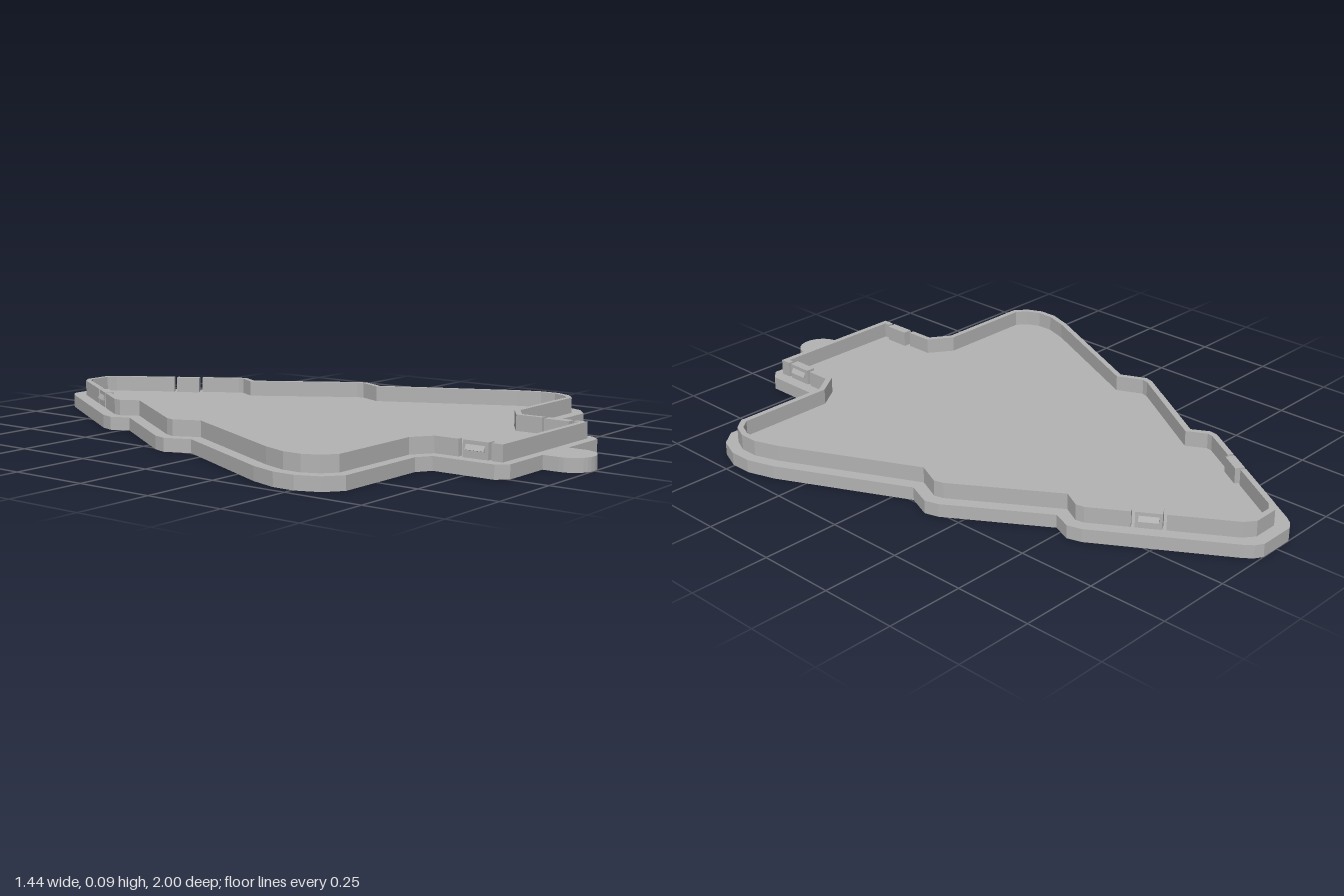
import * as THREE from 'three';

const BASE_H = 0.042, TOP = 0.092, WALL = 0.018;

// Completes a right-hand half outline (x, z) with its mirror image
const mirrored = (half) => [...half, ...half.slice().reverse().filter(([x]) => x > 0).map(([x, z]) => [-x, z])];

// Moves a closed outline inwards by a distance, with mitred corners
function inset(pts, dist) {
  const n = pts.length;
  const normal = (a, b) => {
    const dx = b[0] - a[0], dz = b[1] - a[1], l = Math.hypot(dx, dz);
    return [-dz / l, dx / l];
  };
  return pts.map((p, i) => {
    const m = normal(pts[(i + n - 1) % n], p), k = normal(p, pts[(i + 1) % n]);
    const s = dist / (1 + m[0] * k[0] + m[1] * k[1]);
    return [p[0] + (m[0] + k[0]) * s, p[1] + (m[1] + k[1]) * s];
  });
}

// Upright slab from a plan outline
function slab(pts, y0, y1, material, name) {
  const shape = new THREE.Shape(pts.map(([x, z]) => new THREE.Vector2(x, -z)));
  const geo = new THREE.ExtrudeGeometry(shape, { depth: y1 - y0, bevelEnabled: false });
  geo.rotateX(-Math.PI / 2).translate(0, y0, 0);
  const mesh = new THREE.Mesh(geo, material);
  mesh.name = name;
  return mesh;
}

// Snap clip: tongue, inner rib and outward wedge; local +x faces outwards
function makeClip(material, name, length) {
  const clip = new THREE.Group();
  clip.name = name;
  const h = TOP - BASE_H, mid = (TOP + BASE_H) / 2;
  const tongue = new THREE.Mesh(new THREE.BoxGeometry(WALL + 0.012, h, length), material);
  tongue.position.set(-(WALL + 0.012) / 2, mid, 0);
  tongue.name = 'clipTongue';
  const profile = new THREE.Shape([
    new THREE.Vector2(-0.002, 0.063), new THREE.Vector2(0.009, 0.066), new THREE.Vector2(-0.002, 0.084),
  ]);
  const wedgeGeo = new THREE.ExtrudeGeometry(profile, { depth: length * 0.75, bevelEnabled: false });
  wedgeGeo.translate(0, 0, -length * 0.375);
  const wedge = new THREE.Mesh(wedgeGeo, material);
  wedge.name = 'clipWedge';
  clip.add(tongue, wedge);
  return clip;
}

export function createModel() {
  const model = new THREE.Group();
  model.name = 'treeTray';
  const grey = new THREE.MeshStandardMaterial({ color: 0xb3b3b3 });
  grey.name = 'grey plastic';

  // Base plate with a rounded pull tab at the foot
  const baseHalf = [
    [0.06, -1], [0.085, -0.985], [0.105, -0.96],
    [0.342, -0.58], [0.355, -0.535], [0.33, -0.475],
    [0.515, -0.185], [0.528, -0.14], [0.495, -0.06],
    [0.69, 0.345], [0.718, 0.435], [0.718, 0.505], [0.69, 0.575], [0.637, 0.617],
    [0.32, 0.617], [0.275, 0.645], [0.275, 0.845], [0.245, 0.877], [0.072, 0.877],
  ];
  for (let i = 0; i <= 8; i++) {
    const a = (i / 8) * Math.PI / 2;
    baseHalf.push([i === 8 ? 0 : 0.072 * Math.cos(a), 0.928 + 0.072 * Math.sin(a)]);
  }
  model.add(slab(mirrored(baseHalf), 0, BASE_H, grey, 'basePlate'));

  // Raised rim outline; upper edge points are placed on a straight slope
  const a = [0.075, -0.935], b = [0.31, -0.56];
  const onSlope = (z) => [a[0] + (b[0] - a[0]) * (z - a[1]) / (b[1] - a[1]), z];
  const rimHalf = [
    [0.042, -0.96], a, onSlope(-0.757), onSlope(-0.672), b,
    [0.315, -0.532], [0.284, -0.475], [0.48, -0.17], [0.488, -0.14], [0.452, -0.06],
    [0.655, 0.36], [0.682, 0.44], [0.682, 0.5], [0.66, 0.55], [0.62, 0.582],
    [0.3, 0.582], [0.237, 0.625], [0.237, 0.705], [0.237, 0.812], [0.237, 0.848],
  ];
  const outer = mirrored(rimHalf), inner = inset(outer, WALL), n = outer.length;
  // Each strip runs between two clip openings
  const strip = (from, to, name) => {
    const ids = [];
    for (let i = from; i <= to; i++) ids.push(i % n);
    const pts = [...ids.map((i) => outer[i]), ...ids.reverse().map((i) => inner[i])];
    model.add(slab(pts, BASE_H, TOP, grey, name));
  };
  strip(3, 17, 'leftRim');
  strip(18, n - 19, 'trunkRim');
  strip(n - 18, n - 4, 'rightRim');
  strip(n - 3, n + 2, 'tipRim');

  // Snap clips standing in the rim openings
  const slope = Math.atan2(b[0] - a[0], b[1] - a[1]);
  for (const [side, name] of [[1, 'left'], [-1, 'right']]) {
    const turn = (t) => (side > 0 ? t : Math.PI - t);
    const lower = makeClip(grey, name + 'TrunkClip', 0.083);
    lower.position.set(side * 0.237, 0, 0.76);
    lower.rotation.y = turn(0);
    const upper = makeClip(grey, name + 'TipClip', 0.078);
    const [x, z] = onSlope(-0.7145);
    upper.position.set(side * x, 0, z);
    upper.rotation.y = turn(slope);
    model.add(lower, upper);
  }
  return model;
}
